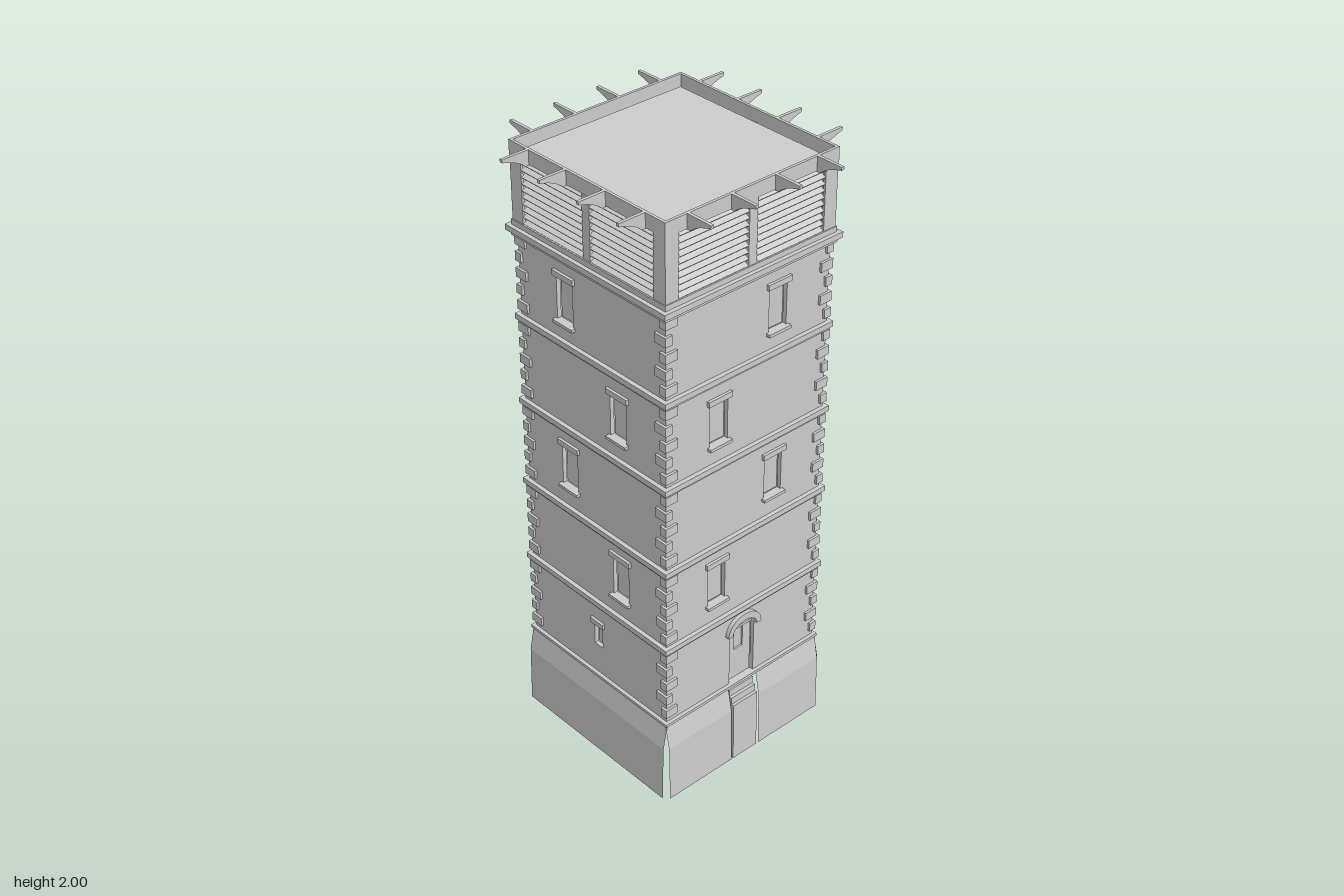
import * as THREE from 'three';

const material = new THREE.MeshStandardMaterial({ color: 0xcccccc, side: THREE.DoubleSide });
const FLOORS = [0.29, 0.575, 0.86, 1.15, 1.44, 1.725]; // heights of the string courses
const WALL = 0.308; // outer face of the walls

function add(parent, name, geometry, x = 0, y = 0, z = 0) {
  const mesh = new THREE.Mesh(geometry, material);
  mesh.name = name;
  mesh.position.set(x, y, z);
  parent.add(mesh);
  return mesh;
}

// Box given by its limits on each axis
function block(parent, name, x0, x1, y0, y1, z0, z1) {
  return add(parent, name, new THREE.BoxGeometry(x1 - x0, y1 - y0, z1 - z0),
    (x0 + x1) / 2, (y0 + y1) / 2, (z0 + z1) / 2);
}

function extrude(shape, depth) {
  return new THREE.ExtrudeGeometry(shape, { depth, bevelEnabled: false, curveSegments: 16 });
}

function rect(Type, x0, x1, y0, y1) {
  return new Type([[x0, y0], [x1, y0], [x1, y1], [x0, y1]].map(p => new THREE.Vector2(...p)));
}

// Square hollow ring lying flat
function ring(parent, name, outer, inner, y0, y1) {
  const shape = rect(THREE.Shape, -outer, outer, -outer, outer);
  shape.holes.push(rect(THREE.Path, -inner, inner, -inner, inner));
  add(parent, name, extrude(shape, y1 - y0).rotateX(-Math.PI / 2), 0, y0, 0);
}

// Flared skirt panel: a thin sheet bent along a profile
function skirt(parent, x0, x1) {
  const profile = [[0.287, 0.312], [0.2, 0.329], [0, 0.333]];
  const geometry = new THREE.PlaneGeometry(x1 - x0, 1, 1, 2);
  const pos = geometry.attributes.position;
  for (let i = 0; i < pos.count; i++) {
    const [y, z] = profile[Math.floor(i / 2)];
    pos.setXYZ(i, pos.getX(i) + (x0 + x1) / 2, y, z);
  }
  const flat = geometry.toNonIndexed();
  flat.computeVertexNormals();
  add(parent, 'baseSkirt', flat);
}

function archPath(Type, rx, ry, bottom, spring) {
  const path = new Type();
  path.moveTo(-rx, bottom);
  path.lineTo(rx, bottom);
  path.lineTo(rx, spring);
  path.absellipse(0, spring, rx, ry, 0, Math.PI, false);
  path.lineTo(-rx, bottom);
  return path;
}

function window_(side, wall, x, y0, y1, half, name, hasSill) {
  wall.holes.push(rect(THREE.Path, x - half, x + half, y0, y1));
  block(side, name + 'Pane', x - half, x + half, y0, y1, 0.286, 0.292);
  block(side, name + 'Lintel', x - half - 0.011, x + half + 0.011, y1, y1 + 0.018, 0.3, 0.317);
  if (hasSill) block(side, name + 'Sill', x - half - 0.008, x + half + 0.008, y0 - 0.01, y0, 0.295, 0.322);
}

// Arched doorway with panelled door and steps
function doorway(side, wall) {
  wall.holes.push(archPath(THREE.Path, 0.05, 0.038, 0.291, 0.487));

  const arch = new THREE.Shape();
  arch.absellipse(0, 0.487, 0.068, 0.063, 0, Math.PI, false);
  arch.lineTo(-0.05, 0.487);
  arch.absellipse(0, 0.487, 0.05, 0.038, Math.PI, 0, true);
  add(side, 'doorArch', extrude(arch, 0.022), 0, 0, 0.3);

  const door = rect(THREE.Shape, -0.05, 0.05, 0.29, 0.487);
  door.holes.push(rect(THREE.Path, -0.018, 0.018, 0.4, 0.48));
  add(side, 'door', extrude(door, 0.006), 0, 0, 0.286);
  block(side, 'doorGrille', -0.018, 0.018, 0.4, 0.48, 0.282, 0.286);
  add(side, 'doorLunette', extrude(archPath(THREE.Shape, 0.05, 0.038, 0.487, 0.488), 0.004), 0, 0, 0.284);
  block(side, 'doorTransom', -0.05, 0.05, 0.483, 0.492, 0.286, 0.298);

  const steps = new THREE.Shape();
  [[0.27, 0], [0.333, 0], [0.33, 0.215], [0.32, 0.215], [0.32, 0.24], [0.31, 0.24], [0.31, 0.265],
    [0.3, 0.265], [0.3, 0.29], [0.27, 0.29]].forEach(([z, y], i) => i ? steps.lineTo(-z, y) : steps.moveTo(-z, y));
  add(side, 'doorSteps', extrude(steps, 0.1).rotateY(Math.PI / 2), -0.05, 0, 0);
}

// Curved bracket under the eaves
function rafter(side, x) {
  const s = new THREE.Shape();
  s.moveTo(-0.314, 2);
  s.lineTo(-0.408, 2);
  s.lineTo(-0.408, 1.99);
  s.quadraticCurveTo(-0.355, 1.978, -0.33, 1.953);
  s.lineTo(-0.314, 1.953);
  add(side, 'rafter', extrude(s, 0.01).rotateY(Math.PI / 2), x - 0.005, 0, 0);
}

function createSide(index) {
  const side = new THREE.Group();
  side.name = ['frontSide', 'leftSide', 'backSide', 'rightSide'][index];
  side.rotation.y = index * Math.PI / 2;

  // Wall with its openings, which swap sides on every storey
  const wall = rect(THREE.Shape, -WALL, WALL, 0.287, 1.725);
  const first = index % 2 ? 0.11 : -0.11;
  [0.65, 0.937, 1.22, 1.505].forEach((y, i) =>
    window_(side, wall, i % 2 ? -first : first, y, y + 0.14, 0.034, 'window', true));
  if (index === 0) {
    doorway(side, wall);
    skirt(side, -0.317, -0.058);
    skirt(side, 0.058, 0.317);
  } else {
    window_(side, wall, 0, 0.4, 0.482, 0.018, 'slit', false);
    skirt(side, -0.317, 0.317);
  }
  add(side, 'wall', extrude(wall, 0.014), 0, 0, WALL - 0.014);

  // Corner stones, alternately long and short
  for (let f = 0; f < 5; f++) {
    const pitch = (FLOORS[f + 1] - FLOORS[f] - 0.02) / 5;
    for (let i = 0; i < 5; i++) {
      const y = FLOORS[f] + 0.012 + (i + 0.5) * pitch;
      const a = i % 2 ? 0.025 : 0.045;
      block(side, 'cornerStone', -0.316, -0.316 + a, y - 0.015, y + 0.015, 0.295, 0.316);
      block(side, 'cornerStone', -0.316, -0.295, y - 0.015, y + 0.015, 0.316 - 0.07 + a, 0.316);
    }
  }

  // Louvred belfry bay
  block(side, 'middlePost', -0.015, 0.015, 1.74, 1.96, 0.29, 0.316);
  for (const s of [-1, 1]) {
    const inner = s > 0 ? 0.27 : -0.317;
    block(side, 'cornerPost', inner, inner + 0.047, 1.74, 1.96, 0.309, 0.317);
    for (let i = 0; i < 10; i++) {
      const slat = add(side, 'louvreSlat', new THREE.BoxGeometry(0.255, 0.004, 0.03),
        s * 0.1425, 1.762 + i * 0.0207, 0.302);
      slat.rotation.x = 0.5;
    }
  }
  for (const x of [-0.237, -0.08, 0.08, 0.237]) rafter(side, x);
  return side;
}

export function createModel() {
  const tower = new THREE.Group();
  tower.name = 'tower';
  for (let i = 0; i < 4; i++) tower.add(createSide(i));

  // Horizontal mouldings
  ring(tower, 'baseLedge', 0.32, 0.3, 0.283, 0.293);
  for (const y of FLOORS.slice(1, 5)) {
    ring(tower, 'stringCourse', 0.322, 0.3, y - 0.01, y + 0.008);
    ring(tower, 'stringCourseFoot', 0.315, 0.3, y - 0.02, y - 0.01);
  }
  ring(tower, 'corniceFoot', 0.322, 0.3, 1.705, 1.72);
  ring(tower, 'cornice', 0.333, 0.3, 1.72, 1.738);
  ring(tower, 'belfrySill', 0.32, 0.309, 1.738, 1.755);

  // Eaves beam and flat roof
  ring(tower, 'eavesBeam', 0.318, 0.309, 1.955, 2);
  block(tower, 'roof', -0.286, 0.286, 1.955, 1.975, -0.286, 0.286);
  return tower;
}
